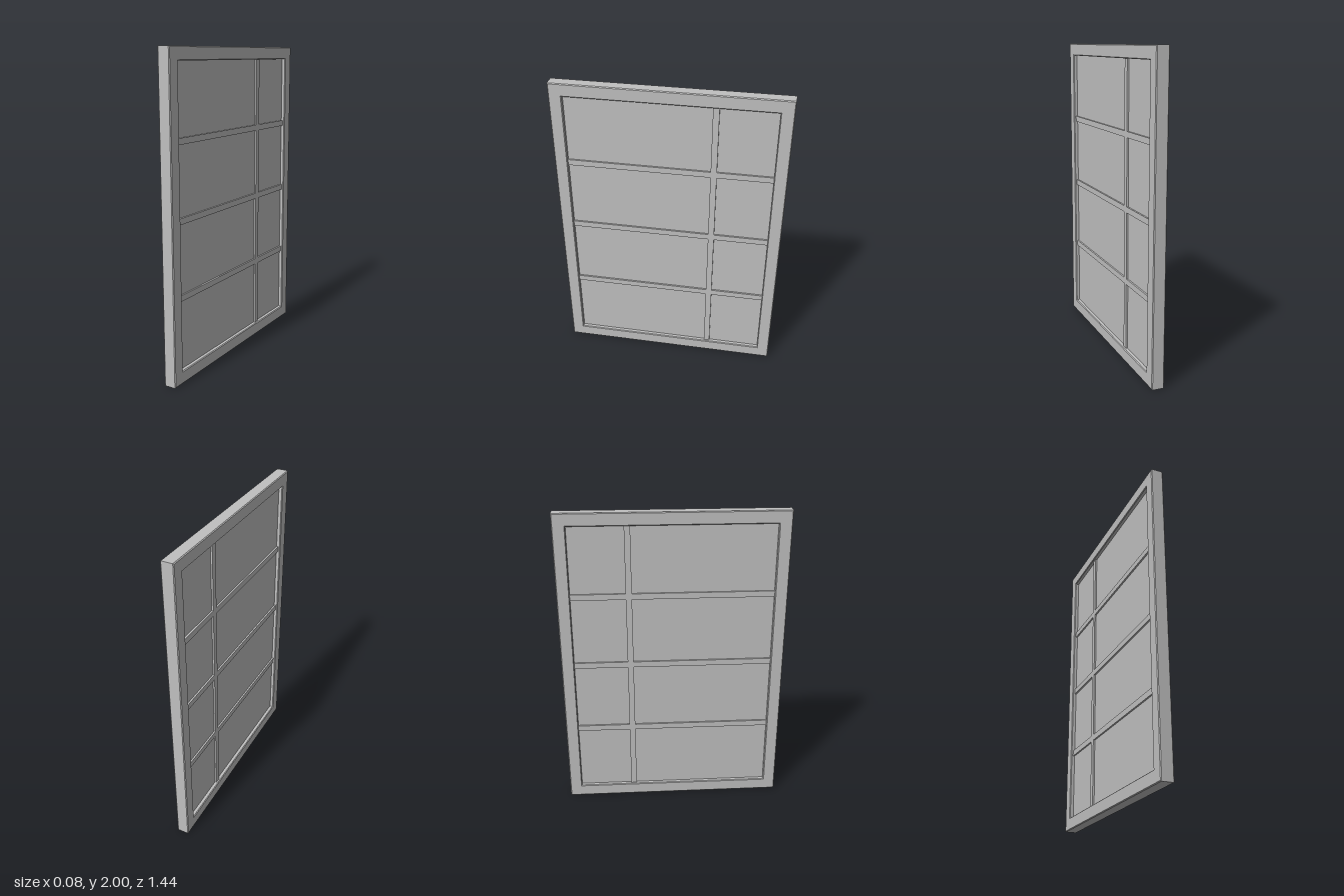
import * as THREE from 'three';

export function createModel() {
  const model = new THREE.Group();
  const grey = new THREE.MeshStandardMaterial({ color: 0xc0c0c0 });
  grey.name = 'grey';

  function add(name, geometry, x = 0, y = 0, z = 0) {
    const mesh = new THREE.Mesh(geometry, grey);
    mesh.name = name;
    mesh.position.set(x, y, z);
    model.add(mesh);
  }

  const rectangle = (path, hw, y0, y1) => {
    path.moveTo(-hw, y0);
    path.lineTo(hw, y0);
    path.lineTo(hw, y1);
    path.lineTo(-hw, y1);
    path.closePath();
    return path;
  };

  // Outer frame with a fine bevel on its edges
  const outline = rectangle(new THREE.Shape(), 0.722, 0, 2);
  outline.holes.push(rectangle(new THREE.Path(), 0.641, 0.081, 1.919));
  const bevel = 0.005;
  const frame = new THREE.ExtrudeGeometry(outline, {
    depth: 0.07, bevelEnabled: true, bevelThickness: bevel,
    bevelSize: bevel, bevelOffset: -bevel, bevelSegments: 1,
  });
  frame.translate(0, 0, -0.035);
  frame.rotateY(Math.PI / 2);
  add('frame', frame);

  // Recessed panel filling the opening
  add('panel', new THREE.BoxGeometry(0.03, 1.86, 1.3), 0, 1, 0);

  // Vertical glazing bar, off centre towards the back
  const barDepth = 0.052, barWidth = 0.038, barZ = -0.276;
  add('verticalBar', new THREE.BoxGeometry(barDepth, 1.85, barWidth), 0, 1, barZ);

  // Horizontal bars, split on either side of the vertical bar
  const spans = [[-0.646, barZ - barWidth / 2], [barZ + barWidth / 2, 0.646]];
  for (const y of [0.535, 1.003, 1.47]) {
    for (const [z0, z1] of spans) {
      add('horizontalBar', new THREE.BoxGeometry(barDepth, barWidth, z1 - z0), 0, y, (z0 + z1) / 2);
    }
  }

  return model;
}
